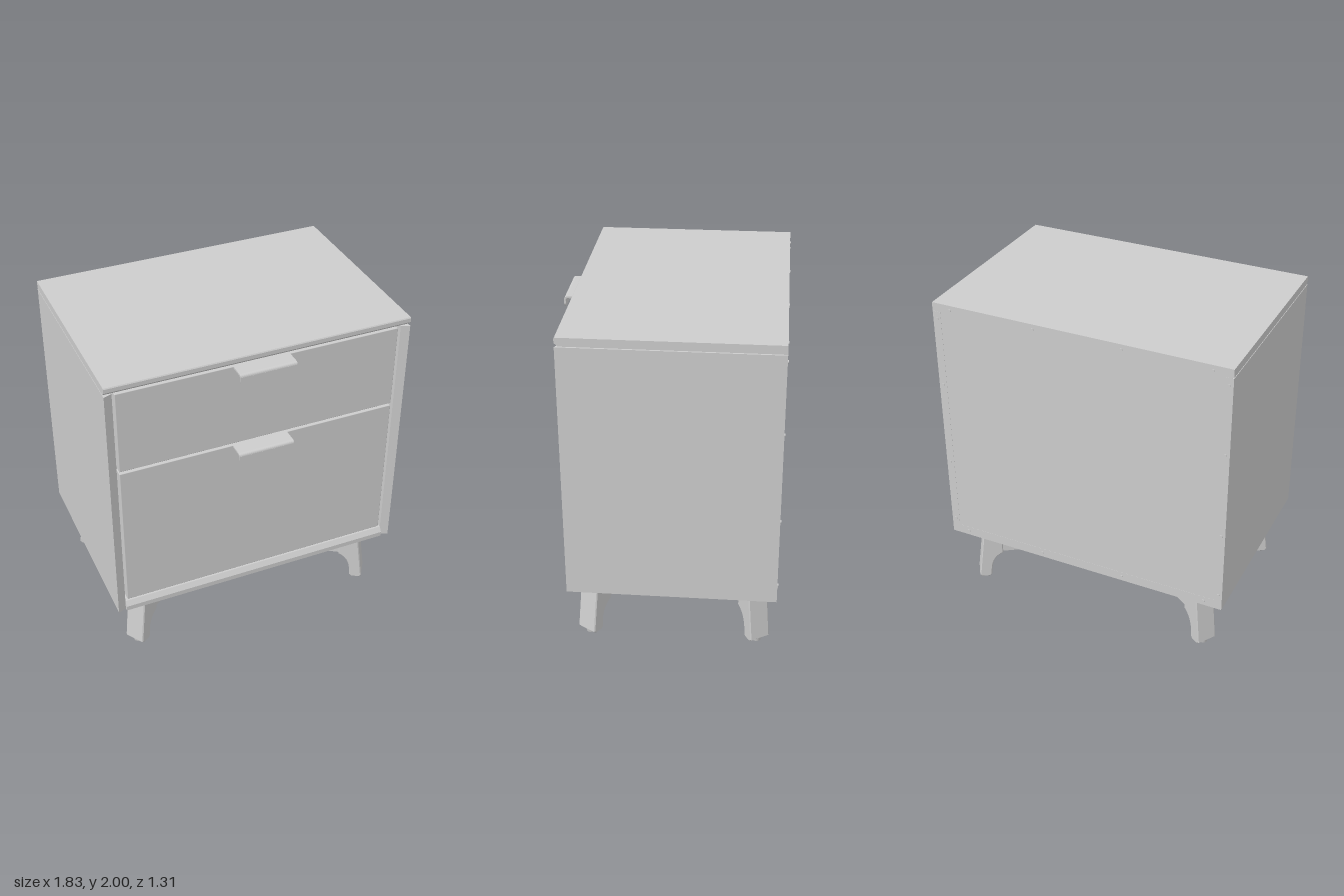
import * as THREE from 'three';
import { RoundedBoxGeometry } from 'three/addons/geometries/RoundedBoxGeometry.js';

export function createModel() {
  const group = new THREE.Group();
  group.name = 'nightstand';
  const grey = new THREE.MeshStandardMaterial({ color: 0xcccccc });
  grey.name = 'pale grey';

  const add = (name, geo, x = 0, y = 0, z = 0, parent = group) => {
    const mesh = new THREE.Mesh(geo, grey);
    mesh.name = name;
    mesh.position.set(x, y, z);
    parent.add(mesh);
    return mesh;
  };
  const shapeOf = (pts) => new THREE.Shape(pts.map(([x, y]) => new THREE.Vector2(x, y)));
  const extrude = (shape, depth) =>
    new THREE.ExtrudeGeometry(shape, { depth, bevelEnabled: false, curveSegments: 10 });

  const W = 0.915, FRONT = 0.58, BACK = -0.65, BOTTOM = 0.38, TOP = 2.0;
  const INNER = 0.865, LIP = 0.56;

  // Side panels, their front edges slanting in towards the drawers
  for (const s of [-1, 1]) {
    const shape = shapeOf([[s * W, -FRONT], [s * INNER, -LIP], [s * INNER, -BACK], [s * W, -BACK]]);
    const geo = extrude(shape, 1.945 - BOTTOM).rotateX(-Math.PI / 2);
    add(s > 0 ? 'leftSidePanel' : 'rightSidePanel', geo, 0, BOTTOM, 0);
  }

  // Top and bottom panels, profile in depth and height, swept across the width
  const slab = (name, pts, halfWidth) => {
    const shape = shapeOf(pts.map(([z, y]) => [-z, y]));
    add(name, extrude(shape, halfWidth * 2).rotateY(Math.PI / 2), -halfWidth, 0, 0);
  };
  slab('topPanel', [[FRONT - 0.004, TOP], [FRONT, TOP - 0.006], [FRONT, 1.97], [LIP, 1.95],
    [BACK, 1.95], [BACK, TOP]], W);
  slab('bottomPanel', [[FRONT, BOTTOM], [FRONT, 0.41], [LIP, 0.44], [BACK, 0.44], [BACK, BOTTOM]], INNER);

  // Inner carcass seen through the gaps, and the back panel
  add('carcass', new THREE.BoxGeometry(1.8, 1.55, 1.14), 0, 1.185, -0.07);
  add('backPanel', new THREE.BoxGeometry(1.81, 1.6, 0.02), 0, 1.19, -0.639);

  // Screws around the edge of the back
  const screw = new THREE.CylinderGeometry(0.009, 0.009, 0.008, 12).rotateX(Math.PI / 2);
  for (const s of [-1, 1]) {
    for (const y of [0.485, 0.915, 1.465, 1.9]) add('backScrew', screw, s * 0.89, y, -0.651);
    for (const x of [0.27, 0.8])
      for (const y of [0.41, 1.968]) add('backScrew', screw, s * x, y, -0.651);
  }

  // Bent-plate handle: a flat tongue, a rounded bend and a hanging lip
  const handleGeometry = () => {
    const p = new THREE.Shape();
    p.moveTo(-0.55, 0);
    p.lineTo(-0.635, 0);
    p.quadraticCurveTo(-0.655, 0, -0.655, -0.02);
    p.lineTo(-0.655, -0.038);
    p.lineTo(-0.645, -0.038);
    p.lineTo(-0.645, -0.022);
    p.quadraticCurveTo(-0.645, -0.01, -0.633, -0.01);
    p.lineTo(-0.55, -0.01);
    return extrude(p, 0.34).rotateY(Math.PI / 2);
  };
  const lipShape = new THREE.Shape();
  lipShape.moveTo(-0.17, 0.024);
  lipShape.lineTo(-0.17, 0);
  lipShape.quadraticCurveTo(-0.168, -0.024, -0.145, -0.024);
  lipShape.lineTo(0.145, -0.024);
  lipShape.quadraticCurveTo(0.168, -0.024, 0.17, 0);
  lipShape.lineTo(0.17, 0.024);

  // Drawers with their handles
  for (const [name, low, high] of [['upperDrawer', 1.415, 1.935], ['lowerDrawer', 0.45, 1.4]]) {
    const drawer = new THREE.Group();
    drawer.name = name;
    group.add(drawer);
    add(name + 'Front', new RoundedBoxGeometry(1.7, high - low, 0.06, 2, 0.004),
      0, (low + high) / 2, LIP - 0.03, drawer);
    add(name + 'Handle', handleGeometry(), -0.17, high, 0, drawer);
    add(name + 'HandleLip', extrude(lipShape, 0.01), 0, high - 0.04, 0.645, drawer);
  }

  // Legs splay along the diagonals; the profile runs outwards and upwards
  const CZ = -0.035, DX = 0.77, DZ = 0.505, LEG = 0.13;
  const leg = new THREE.Shape();
  leg.moveTo(0.893, 0.018);
  leg.lineTo(0.945, 0.018);
  leg.lineTo(0.96, 0.032);
  leg.lineTo(0.915, BOTTOM);
  leg.lineTo(0.835, BOTTOM);
  leg.lineTo(0.8, 0.305);
  leg.lineTo(0.8, 0.2);
  leg.quadraticCurveTo(0.872, 0.17, 0.878, 0.07);
  leg.lineTo(0.88, 0.032);
  const bevel = 0.006;
  const legGeo = new THREE.ExtrudeGeometry(leg, {
    depth: LEG - bevel * 2, bevelThickness: bevel, bevelSize: bevel, bevelOffset: -bevel,
    bevelSegments: 1, curveSegments: 10,
  }).translate(0, 0, -LEG / 2 + bevel);

  for (const sx of [-1, 1]) {
    for (const sz of [-1, 1]) {
      const corner = new THREE.Group();
      corner.name = (sz > 0 ? 'front' : 'back') + (sx > 0 ? 'Left' : 'Right') + 'Leg';
      corner.position.z = CZ;
      corner.rotation.y = Math.atan2(-sz * DZ, sx * DX);
      group.add(corner);
      add('leg', legGeo, 0, 0, 0, corner);
      add('footGlide', new THREE.CylinderGeometry(0.03, 0.026, 0.022, 20), 0.92, 0.011, 0, corner);
    }
    // One crossing brace per diagonal
    const brace = add('crossBrace', new THREE.BoxGeometry(1.64, 0.105, 0.09), 0, 0.2525, CZ);
    brace.rotation.y = Math.atan2(-DZ, sx * DX);
  }
  return group;
}
